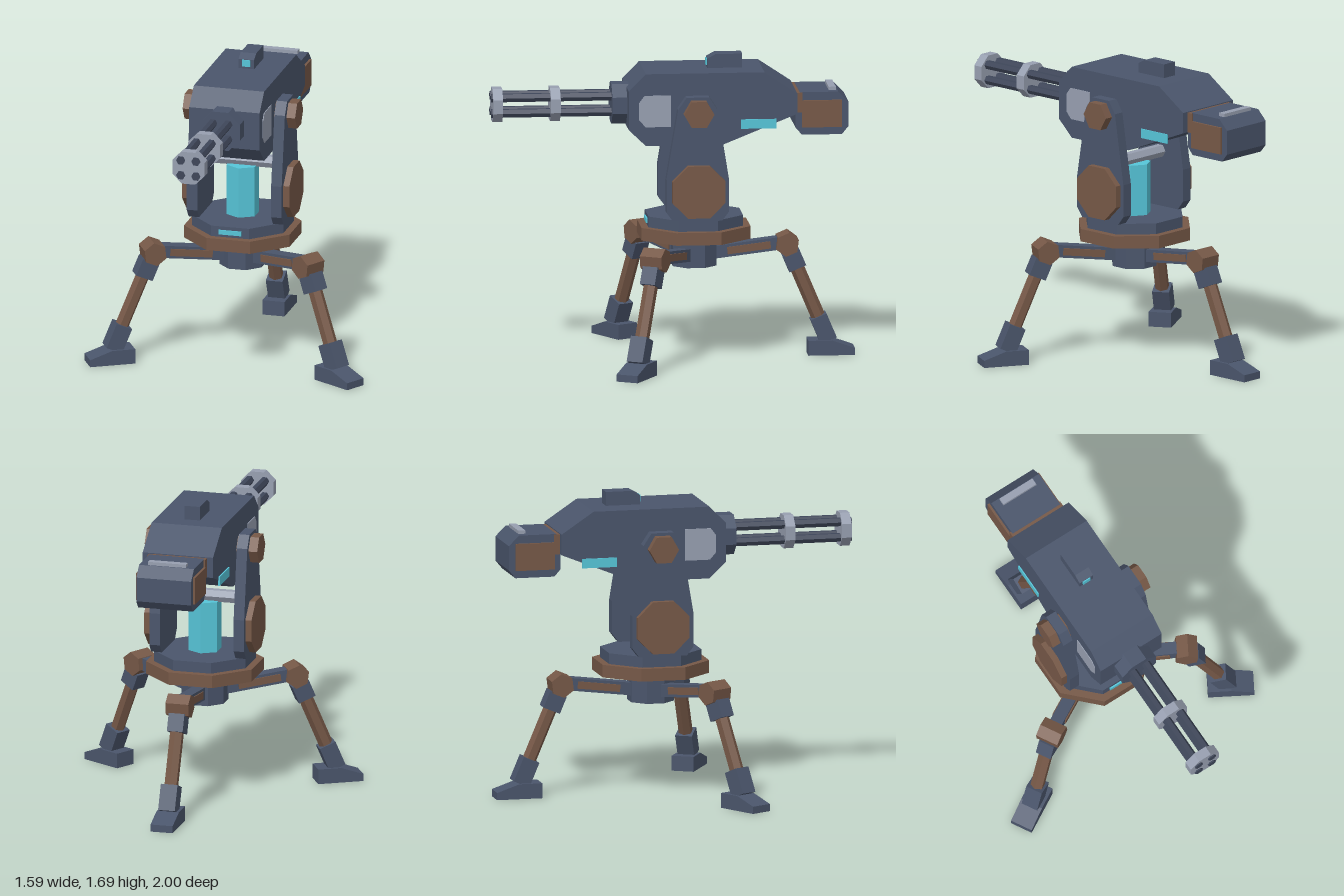
import * as THREE from 'three';

const mat = (name, color) => {
  const m = new THREE.MeshStandardMaterial({ color });
  m.name = name;
  return m;
};

export function createModel() {
  const slate = mat('slate', 0x4a556b);
  const gunmetal = mat('gunmetal', 0x3e4659);
  const brown = mat('brown', 0x765847);
  const grey = mat('grey', 0x979fb0);
  const cyan = mat('cyan', 0x56c5d8);
  const AXIS = -0.12; // z of the turning axis

  // Faceted mesh: split vertices so every face has its own normal
  function add(parent, name, geo, material, x = 0, y = 0, z = 0) {
    const g = geo.index ? geo.toNonIndexed() : geo;
    g.computeVertexNormals();
    const mesh = new THREE.Mesh(g, material);
    mesh.name = name;
    mesh.position.set(x, y, z);
    parent.add(mesh);
    return mesh;
  }
  const group = (parent, name) => {
    const g = new THREE.Group();
    g.name = name;
    parent.add(g);
    return g;
  };
  const box = (w, h, d) => new THREE.BoxGeometry(w, h, d);
  // Regular prism given by its apothem; turned = flat side towards +z
  function prism(apothem, length, sides, axis = 'y', turned = sides === 8) {
    const r = apothem / Math.cos(Math.PI / sides);
    const g = new THREE.CylinderGeometry(r, r, length, sides);
    if (turned) g.rotateY(Math.PI / sides);
    if (axis === 'x') g.rotateZ(Math.PI / 2);
    if (axis === 'z') g.rotateX(Math.PI / 2);
    return g;
  }
  // Side profile of [z, y] points, extruded to a width centred on x
  function slab(points, width) {
    const shape = new THREE.Shape(points.map(([z, y]) => new THREE.Vector2(z, y)));
    const g = new THREE.ExtrudeGeometry(shape, { depth: width, bevelEnabled: false });
    return g.rotateY(-Math.PI / 2).translate(width / 2, 0, 0);
  }

  const model = new THREE.Group();
  model.name = 'turret';

  // Tripod hub and turning base
  const base = group(model, 'base');
  add(base, 'hub', prism(0.12, 0.17, 8), slate, 0, 0.595, AXIS);
  add(base, 'lowerRing', prism(0.3, 0.07, 8), brown, 0, 0.705, AXIS);
  add(base, 'upperRing', prism(0.26, 0.06, 8), slate, 0, 0.77, AXIS);
  add(base, 'baseLight', box(0.13, 0.025, 0.009), cyan, 0, 0.768, 0.144);
  add(base, 'powerCore', prism(0.08, 0.29, 6), cyan, 0, 0.94, AXIS);
  add(base, 'crossBar', prism(0.032, 0.43, 6, 'x'), grey, 0, 1.112, AXIS);

  // Three legs; local +z points outwards
  [Math.PI / 3, -Math.PI / 3, Math.PI].forEach((angle) => {
    const leg = group(model, 'leg');
    leg.position.z = AXIS;
    leg.rotation.y = angle;

    const thigh = group(leg, 'thigh');
    thigh.position.set(0, 0.602, 0.29);
    thigh.rotation.x = -0.12;
    add(thigh, 'thighBeam', box(0.07, 0.07, 0.42), slate);
    for (const s of [1, -1])
      add(thigh, 'thighPanel', box(0.008, 0.04, 0.24), brown, s * 0.038, 0, 0.01);

    const shin = group(leg, 'shin');
    shin.position.set(0, 0.62, 0.51);
    shin.rotation.x = -0.4;
    add(shin, 'knee', prism(0.058, 0.13, 6, 'x'), brown);
    add(shin, 'kneeCuff', box(0.09, 0.1, 0.1), slate, 0, -0.1, 0);
    add(shin, 'shinRod', prism(0.034, 0.45, 6), brown, 0, -0.28, 0);
    add(shin, 'ankleCuff', box(0.095, 0.145, 0.095), slate, 0, -0.515, 0);

    const footProfile = [[0.625, 0], [0.88, 0], [0.88, 0.04], [0.755, 0.083], [0.625, 0.083]];
    add(leg, 'foot', slab(footProfile, 0.126), slate);
  });

  // Yoke arms with pivots and discs
  const armProfile = [
    [0.02, 0.8], [0.057, 0.85], [0.057, 1.03], [-0.008, 1.42], [-0.055, 1.488],
    [-0.18, 1.488], [-0.225, 1.42], [-0.288, 1.03], [-0.288, 0.85], [-0.25, 0.8],
  ];
  for (const s of [1, -1]) {
    const arm = group(model, s > 0 ? 'leftYoke' : 'rightYoke');
    add(arm, 'yokeArm', slab(armProfile, 0.06), slate, s * 0.24);
    add(arm, 'sideDisc', prism(0.145, 0.04, 8, 'x'), brown, s * 0.285, 0.965, AXIS);
    add(arm, 'pivot', prism(0.072, 0.13, 6, 'x'), brown, s * 0.255, 1.4, AXIS);
  }

  // Gun housing
  const gun = group(model, 'gun');
  const housing = [
    [0.257, 1.3], [0.257, 1.515], [0.163, 1.61], [-0.49, 1.61],
    [-0.67, 1.49], [-0.67, 1.375], [-0.26, 1.21], [0.163, 1.21],
  ];
  add(gun, 'housing', slab(housing, 0.4), slate);
  const panel = [
    [0.025, 1.315], [0.165, 1.315], [0.2, 1.355], [0.2, 1.45], [0.17, 1.49], [0.025, 1.49],
  ];
  for (const s of [1, -1]) {
    add(gun, 'sidePanel', slab(panel, 0.006), grey, s * 0.201);
    add(gun, 'sideLight', box(0.009, 0.052, 0.195), cyan, s * 0.202, 1.324, -0.458);
  }

  // Sight on top
  const sight = [[-0.19, 1.6], [-0.19, 1.662], [-0.235, 1.687], [-0.382, 1.687], [-0.382, 1.6]];
  add(gun, 'sight', slab(sight, 0.088), slate);
  add(gun, 'sightLens', box(0.048, 0.038, 0.008), cyan, 0, 1.641, -0.188);

  // Ammunition box at the rear
  const ammo = [
    [-0.665, 1.29], [-0.7, 1.25], [-0.92, 1.25], [-0.957, 1.295],
    [-0.957, 1.43], [-0.9, 1.487], [-0.69, 1.487], [-0.665, 1.46],
  ];
  add(gun, 'ammoBox', slab(ammo, 0.312), slate);
  add(gun, 'ammoCollar', box(0.33, 0.11, 0.055), brown, 0, 1.43, -0.676);
  add(gun, 'ammoVent', box(0.215, 0.025, 0.04), grey, 0, 1.493, -0.872);
  for (const s of [1, -1])
    add(gun, 'ammoPanel', box(0.014, 0.15, 0.22), brown, s * 0.162, 1.367, -0.81);

  // Barrel cluster
  const barrels = group(gun, 'barrels');
  barrels.position.y = 1.42;
  add(barrels, 'barrelCollar', prism(0.11, 0.1, 8, 'z'), slate, 0, 0, 0.288);
  for (const z of [0.648, 0.965])
    add(barrels, 'barrelClamp', prism(0.092, 0.054, 8, 'z'), grey, 0, 0, z);
  for (const x of [-0.043, 0.043])
    for (const y of [-0.043, 0.043])
      add(barrels, 'barrel', prism(0.022, 0.7, 6, 'z', true), gunmetal, x, y, 0.65);

  return model;
}
